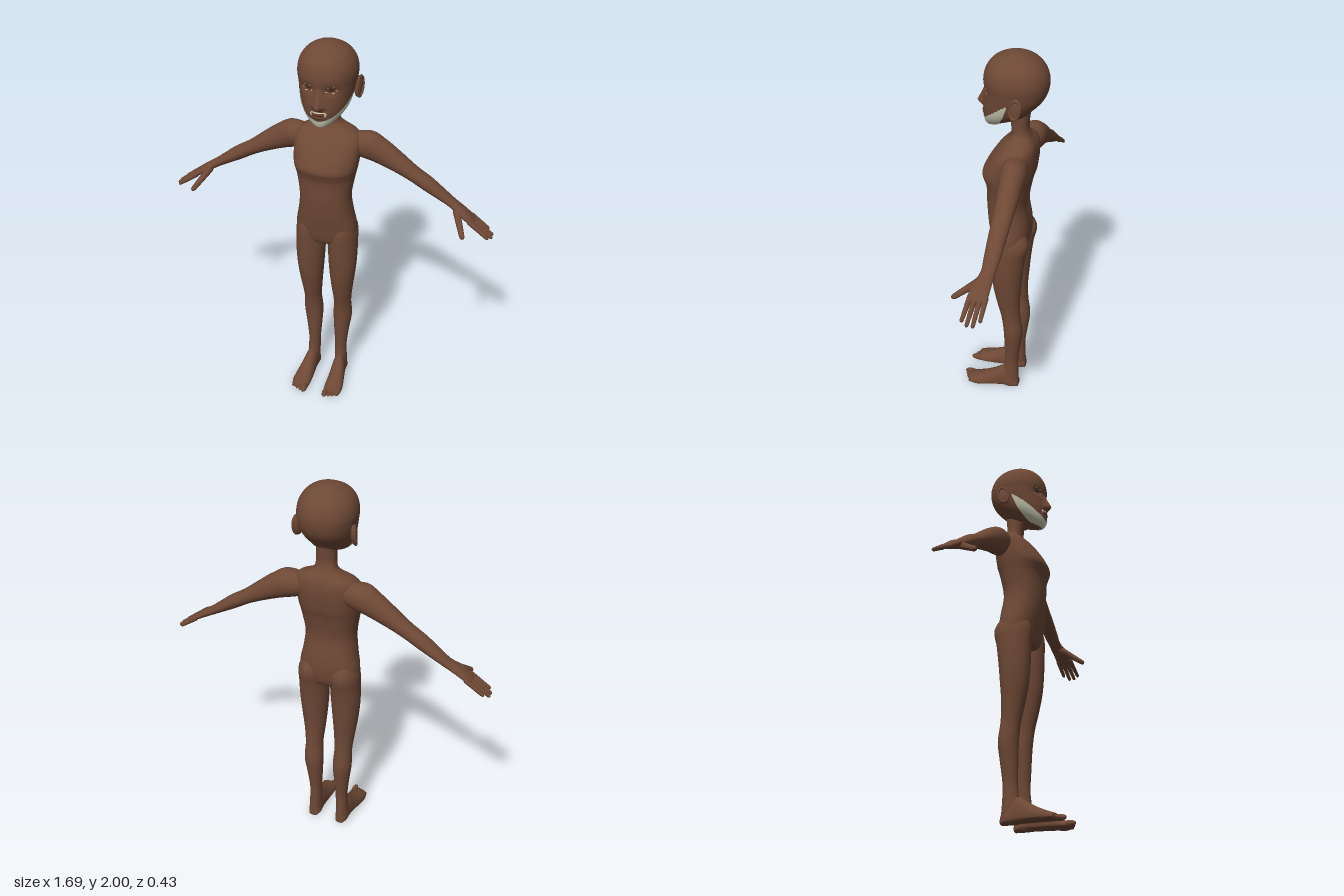
import * as THREE from 'three';

const material = (name, color, side = THREE.FrontSide) =>
  Object.assign(new THREE.MeshStandardMaterial({ color, side }), { name });

// Catmull-Rom reading of a table of cross-sections at t = 0..1
function sample(table, t) {
  const f = Math.min(Math.max(t, 0), 1) * (table.length - 1);
  const i = Math.min(Math.floor(f), table.length - 2), k = f - i;
  const row = n => table[Math.min(Math.max(n, 0), table.length - 1)];
  return table[i].map((_, c) => {
    const [a, b, d, e] = [row(i - 1)[c], row(i)[c], row(i + 1)[c], row(i + 2)[c]];
    return b + 0.5 * k * (d - a + k * (2 * a - 5 * b + 4 * d - e + k * (3 * (b - d) + e - a)));
  });
}
const rounded = (v, n) => Math.sign(v) * Math.abs(v) ** (2 / n);
const bump = (v, w) => Math.exp(-((v / w) ** 2));

// Closed loft: point(t, angle) swept over rings, both ends capped, always facing out
function loft(point, rows, segs) {
  const pos = [], idx = [];
  for (let i = 0; i <= rows; i++)
    for (let j = 0; j < segs; j++) pos.push(...point(i / rows, (j / segs) * Math.PI * 2));
  const at = (i, j) => i * segs + (j % segs);
  for (let i = 0; i < rows; i++)
    for (let j = 0; j < segs; j++)
      idx.push(at(i, j), at(i, j + 1), at(i + 1, j), at(i, j + 1), at(i + 1, j + 1), at(i + 1, j));
  for (const i of [0, rows]) {
    const c = [0, 0, 0], n = pos.length / 3;
    for (let j = 0; j < segs; j++) for (let k = 0; k < 3; k++) c[k] += pos[at(i, j) * 3 + k] / segs;
    pos.push(...c);
    for (let j = 0; j < segs; j++)
      idx.push(n, ...(i ? [at(i, j), at(i, j + 1)] : [at(i, j + 1), at(i, j)]));
  }
  const v = n => new THREE.Vector3().fromArray(pos, n * 3);
  let volume = 0;
  for (let k = 0; k < idx.length; k += 3) volume += v(idx[k]).dot(v(idx[k + 1]).cross(v(idx[k + 2])));
  if (volume < 0) idx.reverse();
  return finish(pos, idx);
}

// Open sheet: point(u, v) over the unit square
function sheet(point, rows, cols) {
  const pos = [], idx = [];
  for (let i = 0; i <= rows; i++) for (let j = 0; j <= cols; j++) pos.push(...point(i / rows, j / cols, j));
  for (let i = 0; i < rows; i++)
    for (let j = 0; j < cols; j++) {
      const a = i * (cols + 1) + j, b = a + cols + 1;
      idx.push(a, a + 1, b, a + 1, b + 1, b);
    }
  return finish(pos, idx);
}
function finish(pos, idx) {
  const g = new THREE.BufferGeometry();
  g.setAttribute('position', new THREE.Float32BufferAttribute(pos, 3));
  g.setIndex(idx);
  g.computeVertexNormals();
  return g;
}

// Head rings: front y, back y, half width, front z, back z
const HEAD = [
  [1.624, 1.69, 0.02, 0.05, -0.07], [1.622, 1.69, 0.05, 0.078, -0.11],
  [1.645, 1.70, 0.08, 0.091, -0.125], [1.68, 1.72, 0.103, 0.096, -0.14],
  [1.72, 1.745, 0.118, 0.098, -0.165], [1.77, 1.78, 0.13, 0.094, -0.192],
  [1.82, 1.82, 0.138, 0.094, -0.208], [1.87, 1.87, 0.143, 0.096, -0.212],
  [1.92, 1.92, 0.132, 0.084, -0.197], [1.96, 1.96, 0.104, 0.054, -0.165],
  [1.985, 1.985, 0.066, 0.01, -0.125], [1.997, 1.997, 0.03, -0.03, -0.09],
  [2, 2, 0.003, -0.057, -0.063]];
function headPoint(t, a, out = 0) {
  const [yf, yb, w, zf, zb] = sample(HEAD, t);
  const c = rounded(Math.cos(a), 2.1);
  const x = w * rounded(Math.sin(a), 2.1), y = yb + ((yf - yb) * (c + 1)) / 2;
  let z = (zf + zb) / 2 + ((zf - zb) / 2) * c;
  if (c > 0) {
    const ramp = Math.min(Math.max((1.82 - y) / 0.085, 0), 1) * Math.min(Math.max((y - 1.708) / 0.022, 0), 1);
    z += 0.036 * ramp * bump(x, 0.012 + 0.01 * ramp);                       // nose
    z -= 0.014 * bump(Math.abs(x) - 0.055, 0.03) * bump(y - 1.81, 0.02);    // eye sockets
    z += 0.009 * bump(x, 0.035) * (bump(y - 1.697, 0.008) + bump(y - 1.678, 0.008)); // lips
  }
  const p = new THREE.Vector3(x, y, z);
  return p.addScaledVector(p.clone().sub(new THREE.Vector3(0, 1.75, -0.05)).normalize(), out).toArray();
}

// Torso and neck rings: y, half width, front z, back z
const TORSO = [
  [0.905, 0.03, -0.01, -0.07], [0.92, 0.11, 0.03, -0.11], [0.96, 0.155, 0.048, -0.13],
  [1.03, 0.156, 0.06, -0.138], [1.1, 0.142, 0.073, -0.135], [1.2, 0.131, 0.081, -0.122],
  [1.3, 0.145, 0.082, -0.137], [1.34, 0.153, 0.092, -0.147], [1.375, 0.16, 0.102, -0.157],
  [1.42, 0.165, 0.085, -0.163], [1.46, 0.168, 0.062, -0.166], [1.5, 0.166, 0.035, -0.165],
  [1.535, 0.145, 0.003, -0.158], [1.56, 0.095, -0.025, -0.146], [1.585, 0.059, -0.037, -0.132],
  [1.62, 0.05, -0.036, -0.121], [1.67, 0.05, -0.03, -0.123], [1.73, 0.05, -0.03, -0.13]];
// Leg rings: y, centre x, half width, front z, back z
const LEG = [
  [1.09, 0.08, 0.035, 0.02, -0.09], [1.0, 0.086, 0.072, 0.048, -0.147], [0.9, 0.087, 0.077, 0.046, -0.132],
  [0.8, 0.088, 0.075, 0.042, -0.12], [0.7, 0.087, 0.067, 0.034, -0.112], [0.6, 0.085, 0.056, 0.015, -0.106],
  [0.5, 0.084, 0.047, -0.008, -0.11], [0.4, 0.083, 0.051, -0.02, -0.122], [0.3, 0.079, 0.042, -0.023, -0.112],
  [0.2, 0.077, 0.033, -0.026, -0.1], [0.12, 0.078, 0.033, -0.018, -0.1], [0.04, 0.08, 0.034, -0.01, -0.104],
  [0.004, 0.08, 0.03, -0.01, -0.098]];
// Foot rings: z, centre x, half width, top y
const FOOT = [
  [-0.103, 0.08, 0.022, 0.05], [-0.07, 0.08, 0.035, 0.085], [-0.02, 0.082, 0.036, 0.128],
  [0.03, 0.086, 0.041, 0.1], [0.08, 0.09, 0.047, 0.07], [0.13, 0.093, 0.05, 0.047], [0.175, 0.091, 0.044, 0.03]];
// Arm and palm rings: x, y, z, half depth, half thickness
const ARM = [
  [0.08, 1.485, -0.09, 0.045, 0.045], [0.17, 1.475, -0.095, 0.064, 0.075], [0.25, 1.443, -0.1, 0.057, 0.066],
  [0.33, 1.4, -0.102, 0.051, 0.052], [0.42, 1.346, -0.102, 0.046, 0.038], [0.5, 1.298, -0.102, 0.042, 0.036],
  [0.57, 1.253, -0.102, 0.038, 0.028], [0.63, 1.214, -0.1, 0.034, 0.022], [0.69, 1.178, -0.086, 0.045, 0.02],
  [0.735, 1.147, -0.083, 0.046, 0.014], [0.75, 1.137, -0.083, 0.04, 0.008]];

// Tapered finger between two points
function finger(a, b, r) {
  const from = new THREE.Vector3(...a), dir = new THREE.Vector3(...b).sub(from), len = dir.length();
  const g = new THREE.CapsuleGeometry(r, len - r, 6, 12, 4);
  const p = g.attributes.position;
  for (let i = 0; i < p.count; i++) {
    const k = 0.9 - (0.35 * p.getY(i)) / len;
    p.setX(i, p.getX(i) * k).setZ(i, p.getZ(i) * k);
  }
  g.computeVertexNormals();
  g.applyQuaternion(new THREE.Quaternion().setFromUnitVectors(new THREE.Vector3(0, 1, 0), dir.clone().normalize()));
  return g.translate(...from.addScaledVector(dir, 0.5).toArray());
}

export function createModel() {
  const root = new THREE.Group();
  root.name = 'figure';
  const skin = material('brown skin', 0x6e4835);
  const dark = material('dark brown', 0x452a20, THREE.DoubleSide);
  const hair = material('pale beard', 0xc9c9b2, THREE.DoubleSide);
  const add = (name, geometry, mat = skin) => {
    const m = new THREE.Mesh(geometry, mat);
    m.name = name;
    root.add(m);
    return m;
  };

  add('head', loft(headPoint, 84, 96));
  add('torso', loft((t, a) => {
    const [y, w, zf, zb] = sample(TORSO, t);
    const x = w * rounded(Math.sin(a), 2.3), c = rounded(Math.cos(a), 2.3);
    const spine = c < 0 ? 0.012 * bump(x, 0.03) * bump(y - 1.3, 0.22) : 0;
    return [x, y, (zf + zb) / 2 + ((zf - zb) / 2) * c + spine];
  }, 72, 56));

  // Beard: a shell over the jaw, rising to the ears
  const top = [[2.4], [2.65], [2.9], [3.5], [4.3], [5.1]];
  add('beard', sheet((u, v, j) => {
    const s = v * 2 - 1, k = Math.abs(s);
    const hi = sample(top, k)[0] + 0.1 * (j % 2), lo = 0.7 + 2.6 * k ** 7;
    return headPoint((lo + (hi - lo) * u) / 12, s * 1.54, 0.004);
  }, 12, 64), hair);

  // Thin facial patches lying on the head: ring position, angle and their radii
  const patch = (name, t, a, rt, ra, mat, out = 0.002) => add(name, sheet((u, v) => {
    const f = v * Math.PI * 2;
    return headPoint((t + rt * u * Math.sin(f)) / 12, a + ra * u * Math.cos(f), out);
  }, 4, 20), mat);
  patch('moustache', 3.68, 0, 0.08, 0.3, hair);
  patch('mouth', 3.22, 0, 0.07, 0.24, dark);

  for (const s of [1, -1]) {
    const side = s > 0 ? 'left' : 'right';
    patch(side + 'MoustacheEnd', 3.4, s * 0.3, 0.26, 0.045, hair);
    patch(side + 'Eye', 5.87, s * 0.4, 0.13, 0.1, dark);
    for (const [t, a] of [[6.2, 0.3], [6.22, 0.5], [5.85, 0.6], [5.6, 0.48], [5.75, 0.24]])
      patch(side + 'Lash', t, s * a, 0.05, 0.035, hair, 0.003);

    // Ear with a raised rim
    const ear = add(side + 'Ear', new THREE.SphereGeometry(1, 24, 16));
    ear.scale.set(0.014, 0.052, 0.03);
    const rim = add(side + 'EarRim', new THREE.TorusGeometry(0.032, 0.007, 10, 28));
    rim.scale.set(0.85, 1.45, 1);
    for (const [part, x, turn] of [[ear, 0.139, 0], [rim, 0.147, Math.PI / 2]]) {
      part.position.set(s * x, 1.778, -0.088);
      part.rotation.set(-0.2, s * (turn - 0.3), 0);
    }

    add(side + 'Arm', loft((t, a) => {
      const [x, y, z, d, h] = sample(ARM, t), v = h * Math.sin(a);
      return [s * (x + 0.49 * v), y + 0.87 * v, z + d * Math.cos(a)];
    }, 50, 32));
    for (const [z, tipX, tipY, tipZ] of [[-0.119, 0.815, 1.09, -0.119], [-0.095, 0.84, 1.075, -0.092],
      [-0.071, 0.84, 1.075, -0.064], [-0.048, 0.825, 1.083, -0.036]])
      add(side + 'Finger', finger([s * 0.725, 1.153, z], [s * tipX, tipY, tipZ], 0.0125));
    add(side + 'Thumb', finger([s * 0.655, 1.19, -0.075], [s * 0.712, 1.113, 0.038], 0.018));

    add(side + 'Leg', loft((t, a) => {
      const [y, x, w, zf, zb] = sample(LEG, t);
      return [s * (x + w * Math.sin(a)), y, (zf + zb) / 2 + ((zf - zb) / 2) * Math.cos(a)];
    }, 60, 36));
    add(side + 'Foot', loft((t, a) => {
      const [z, x, w, h] = sample(FOOT, t);
      const up = Math.sin(a) > 0 ? Math.sin(a) : rounded(Math.sin(a), 4);
      return [s * (x + w * Math.cos(a)), h * 0.3 + up * h * (up > 0 ? 0.7 : 0.3), z];
    }, 30, 32));
    // Toes, large to small from the inside out
    [[0.061, 0.214, 0.016], [0.083, 0.203, 0.0115], [0.101, 0.195, 0.011], [0.117, 0.184, 0.0105],
      [0.132, 0.168, 0.01]].forEach(([x, tip, r]) => {
      const toe = add(side + 'Toe', new THREE.SphereGeometry(1, 16, 12));
      toe.scale.set(r, r, 0.035);
      toe.position.set(s * x, r, tip - 0.035);
    });
  }
  return root;
}
